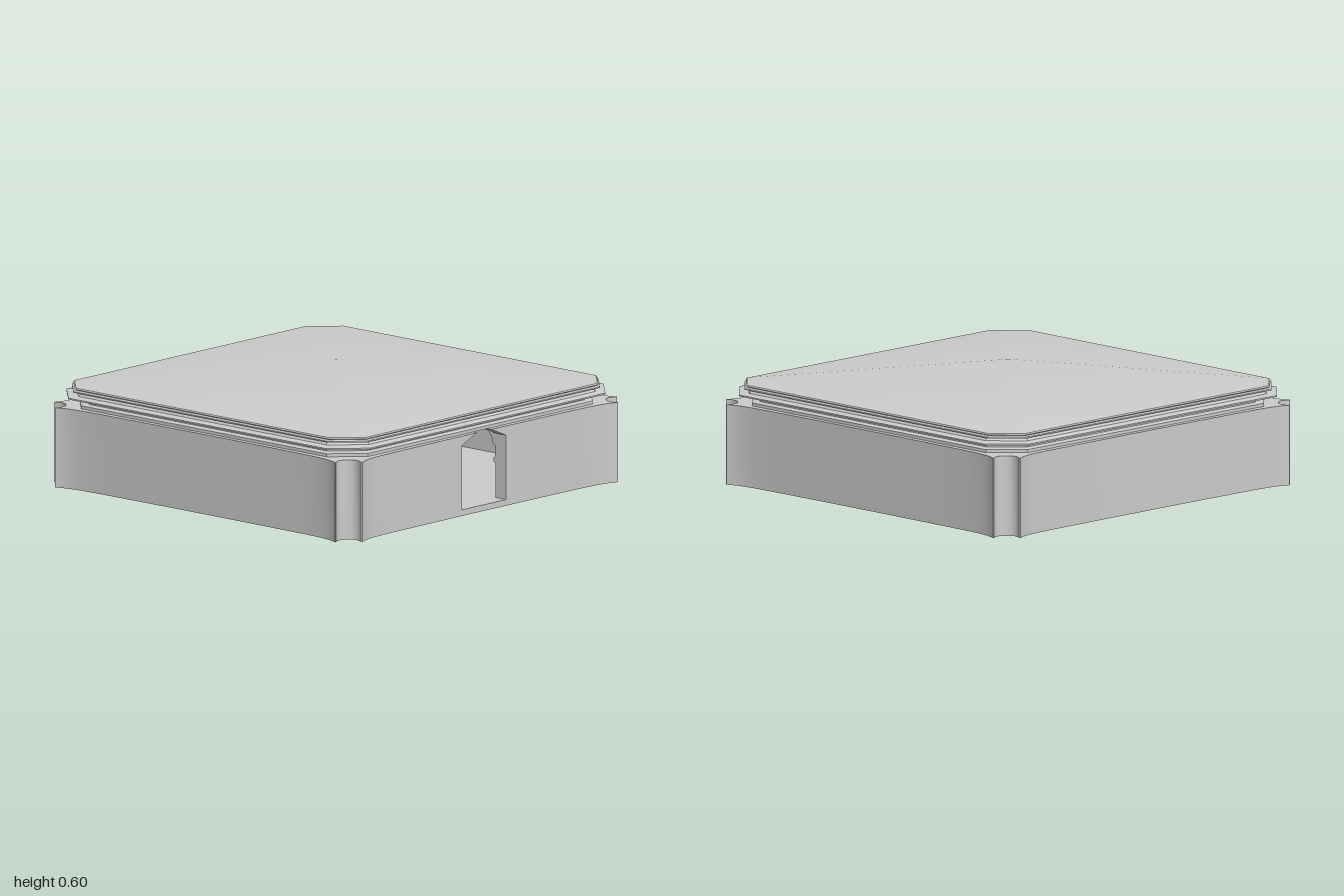
import * as THREE from 'three';
import { toCreasedNormals } from 'three/addons/utils/BufferGeometryUtils.js';

const material = new THREE.MeshStandardMaterial({ color: 0xcccccc, side: THREE.DoubleSide });
const WALL_TOP = 0.39, WALL_Z = 0.958, ROOM = 0.89, FLOOR = 0.03;
const DOOR = { half: 0.155, shoulder: 0.345, crown: 0.05 };

function addMesh(group, name, geometry, crease = 0.4) {
  const mesh = new THREE.Mesh(toCreasedNormals(geometry, crease), material);
  mesh.name = name;
  group.add(mesh);
  return mesh;
}

// Nearly flat wall face that flares outward at the corners
function wallZ(x) {
  const t = Math.abs(x) / 0.905;
  return WALL_Z + 0.008 * t * t + 0.032 * Math.pow(t, 14);
}

// Plan of the walls: four flared sides with fluted corners, hollow inside, open at the door
function wallPlan() {
  const corner = [[0.91, 0.995], [0.897, 0.975], [0.893, 0.95], [0.899, 0.93], [0.913, 0.913]];
  const mirrored = corner.slice(0, -1).reverse().map(([x, z]) => [z, x]);
  const room = [
    [-DOOR.half, WALL_Z], [-DOOR.half, ROOM], [-ROOM, ROOM], [-ROOM, -ROOM],
    [ROOM, -ROOM], [ROOM, ROOM], [DOOR.half, ROOM], [DOOR.half, WALL_Z],
  ];
  const points = [];
  for (let side = 0; side < 4; side++) {
    const line = [];
    for (let i = 0; i <= 24; i++) {
      const x = 0.905 * Math.sin(((i - 12) * Math.PI) / 24);
      if (side > 0 || Math.abs(x) > DOOR.half) line.push([x, wallZ(x)]);
      else if (i === 12) line.push(...room);
    }
    line.push(...corner, ...mirrored);
    const a = (side * Math.PI) / 2, c = Math.round(Math.cos(a)), s = Math.round(Math.sin(a));
    for (const [x, z] of line) points.push(new THREE.Vector2(x * c + z * s, x * s - z * c));
  }
  return new THREE.Shape(points);
}

// Loft of square rings with cut corners, from [height, half width] pairs
function cutCornerLoft(profile, cut = 0.85) {
  const positions = [], index = [];
  for (const [y, h] of profile) {
    const k = h * cut;
    for (const [x, z] of [[-k, h], [k, h], [h, k], [h, -k], [k, -h], [-k, -h], [-h, -k], [-h, k]]) {
      positions.push(x, y, z);
    }
  }
  for (let r = 0; r < profile.length - 1; r++) {
    for (let i = 0; i < 8; i++) {
      const a = r * 8 + i, b = r * 8 + ((i + 1) % 8);
      index.push(a, b, b + 8, a, b + 8, a + 8);
    }
  }
  const geometry = new THREE.BufferGeometry();
  geometry.setAttribute('position', new THREE.Float32BufferAttribute(positions, 3));
  geometry.setIndex(index);
  geometry.computeVertexNormals();
  return geometry;
}

// Inner moulding and ceiling cove, run along a wall from x0 to x1 and turned to its side
function coveGeometry(x0, x1, angle) {
  const profile = [
    [0, 0.2], [0.012, 0.205], [0.012, 0.225], [0.002, 0.23], [0.002, 0.285],
    [0.015, 0.29], [0.025, 0.325], [0.05, 0.36], [0.1, 0.39], [0, 0.39],
  ].map(([inset, y]) => new THREE.Vector2(inset, y));
  const geometry = new THREE.ExtrudeGeometry(new THREE.Shape(profile), {
    depth: x1 - x0, bevelEnabled: false,
  });
  geometry.rotateY(Math.PI / 2);
  geometry.translate(x0, 0, ROOM);
  geometry.rotateY(angle);
  return geometry;
}

export function createModel() {
  const model = new THREE.Group();
  model.name = 'pavilion';

  // Walls
  const walls = new THREE.ExtrudeGeometry(wallPlan(), { depth: WALL_TOP, bevelEnabled: false });
  walls.rotateX(-Math.PI / 2);
  addMesh(model, 'walls', walls, 0.55);

  // Room floor
  const floor = new THREE.BoxGeometry(ROOM * 2, FLOOR, ROOM * 2);
  floor.translate(0, FLOOR / 2, 0);
  addMesh(model, 'floor', floor);

  // Mouldings inside the room, split at the door
  for (const [name, x0, x1, turn] of [
    ['rightFrontCove', -ROOM, -DOOR.half, 0], ['leftFrontCove', DOOR.half, ROOM, 0],
    ['leftCove', -ROOM, ROOM, 1], ['backCove', -ROOM, ROOM, 2], ['rightCove', -ROOM, ROOM, 3],
  ]) {
    addMesh(model, name, coveGeometry(x0, x1, (turn * Math.PI) / 2));
  }

  // Doorway: sill and angled head
  const doorway = new THREE.Group();
  doorway.name = 'doorway';
  model.add(doorway);
  const thickness = WALL_Z - ROOM;
  const sill = new THREE.BoxGeometry(DOOR.half * 2, FLOOR, thickness);
  sill.translate(0, FLOOR / 2, ROOM + thickness / 2);
  addMesh(doorway, 'sill', sill);
  for (const s of [-1, 1]) {
    const shape = new THREE.Shape([
      new THREE.Vector2(s * DOOR.half, DOOR.shoulder),
      new THREE.Vector2(s * DOOR.half, WALL_TOP),
      new THREE.Vector2(s * DOOR.crown, WALL_TOP),
    ]);
    const head = new THREE.ExtrudeGeometry(shape, { depth: thickness, bevelEnabled: false });
    head.translate(0, 0, ROOM);
    addMesh(doorway, s > 0 ? 'leftDoorHead' : 'rightDoorHead', head);
  }

  // Cornice, closing the room from above, and thin projecting eave
  addMesh(model, 'cornice', cutCornerLoft([
    [0.391, 0], [0.391, 0.935], [0.406, 0.935], [0.411, 0.905], [0.422, 0.905], [0.43, 0.93],
  ]));
  addMesh(model, 'eave', cutCornerLoft([
    [0.43, 0.9], [0.434, 0.96], [0.438, 0.982], [0.445, 0.982], [0.452, 0.945], [0.466, 0.935],
  ]));

  // Low pyramid roof on a moulded rim
  addMesh(model, 'roofRim', cutCornerLoft([
    [0.466, 0.935], [0.468, 0.955], [0.474, 0.955], [0.478, 0.94], [0.484, 0.95], [0.49, 0.945],
  ], 0.865));
  addMesh(model, 'roof', cutCornerLoft([[0.49, 0.945], [0.6, 0.001]], 0.865));

  return model;
}
